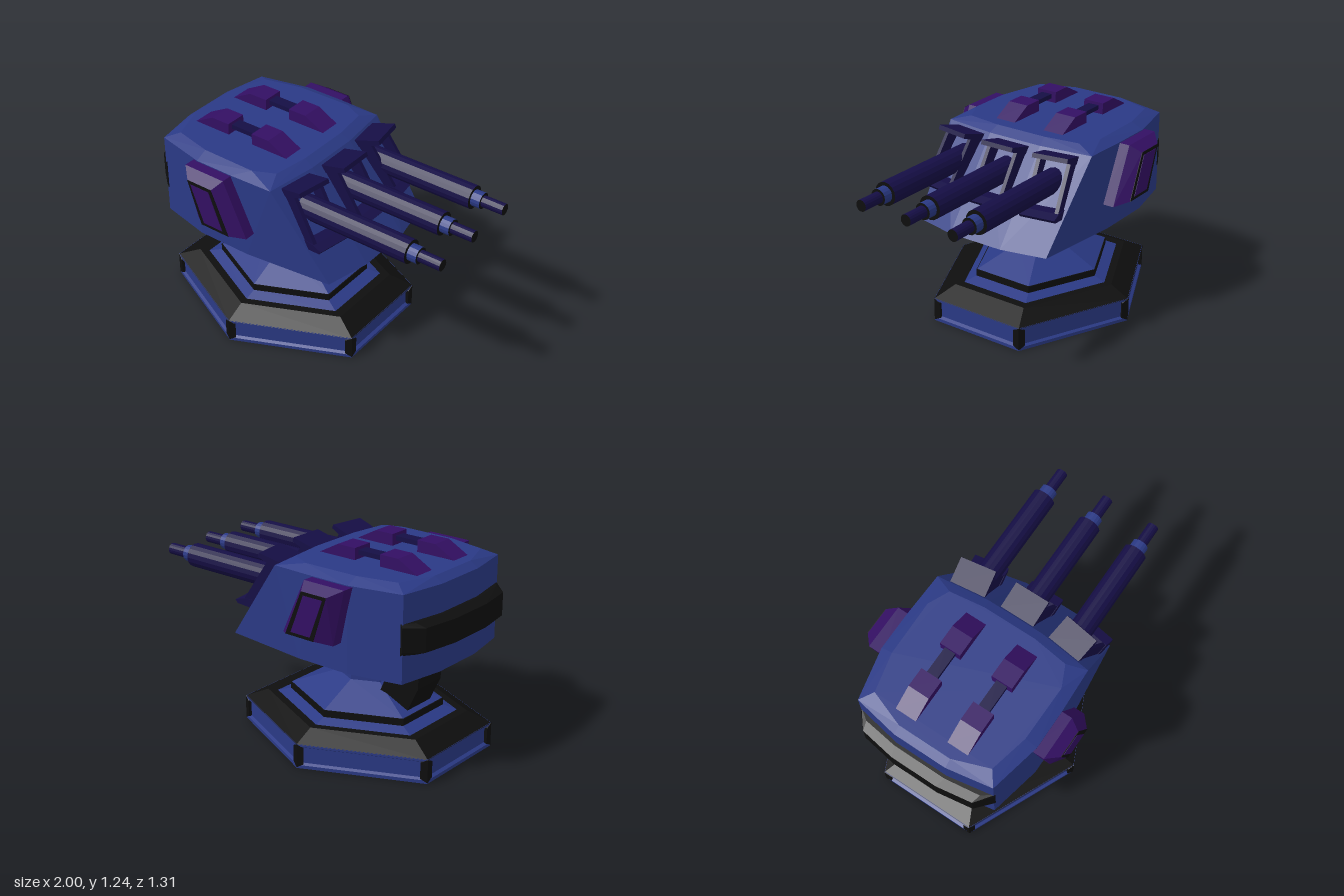
import * as THREE from 'three';
import { ConvexGeometry } from 'three/addons/geometries/ConvexGeometry.js';

const paint = (color) => new THREE.MeshStandardMaterial({ color, flatShading: true });
const blue = paint(0x2a3985), navy = paint(0x150e45), purple = paint(0x330f63), black = paint(0x0e0e0e);
const CX = -0.275;      // turret axis
const STRETCH = 1.256;  // hexagons are longer along x

function add(parent, name, geometry, material) {
  const mesh = new THREE.Mesh(geometry, material);
  mesh.name = name;
  parent.add(mesh);
  return mesh;
}

// Hexagonal solid of revolution, profile as [radius, y] from bottom to top
function hexLathe(parent, name, profile, material) {
  const geo = new THREE.LatheGeometry(profile.map(([r, y]) => new THREE.Vector2(r, y)), 6);
  geo.scale(STRETCH, 1, 1).translate(CX, 0, 0);
  return add(parent, name, geo, material);
}

// Side profile [x, y] extruded across z, centred on zc
function slab(parent, name, profile, width, zc, material) {
  const shape = new THREE.Shape(profile.map(([x, y]) => new THREE.Vector2(x, y)));
  const geo = new THREE.ExtrudeGeometry(shape, { depth: width, bevelEnabled: false });
  geo.translate(0, 0, zc - width / 2);
  return add(parent, name, geo, material);
}

const hull = (parent, name, points, material) =>
  add(parent, name, new ConvexGeometry(points), material);

// Plan outline [x, z] at height y, mirrored in z
const planRing = (outline, y) => outline.flatMap(([x, z]) =>
  [new THREE.Vector3(x, y, z), new THREE.Vector3(x, y, -z)]);

// Side outline [x, y] at depth z
const sideRing = (outline, z) => outline.map(([x, y]) => new THREE.Vector3(x, y, z));

function buildBase() {
  const g = new THREE.Group();
  g.name = 'base';
  hexLathe(g, 'basePlinth', [[0, 0], [0.63, 0], [0.63, 0.02], [0.612, 0.03], [0.612, 0.125],
    [0.63, 0.135], [0.63, 0.15], [0, 0.15]], blue);
  hexLathe(g, 'baseBevel', [[0.632, 0.148], [0.51, 0.21], [0.46, 0.21], [0.46, 0.15]], black);
  hexLathe(g, 'baseStep', [[0.47, 0.205], [0.385, 0.235]], blue);
  hexLathe(g, 'neckRing', [[0.39, 0.225], [0.39, 0.275], [0, 0.275]], black);
  hexLathe(g, 'neck', [[0.385, 0.276], [0.145, 0.39], [0.145, 0.56]], blue);

  // Chamfered guards on the six corners
  const corner = (i) => new THREE.Vector3(
    0.632 * Math.sin(i * Math.PI / 3) * STRETCH, 0, 0.632 * Math.cos(i * Math.PI / 3));
  for (let i = 0; i < 6; i++) {
    const v = corner(i), pts = [];
    const inner = v.clone().multiplyScalar(0.9);
    for (const y of [0.005, 0.149]) pts.push(v.clone().setY(y), inner.clone().setY(y));
    for (const j of [i - 1, i + 1]) {
      const p = v.clone().add(corner(j).sub(v).setLength(0.042));
      for (const y of [0.028, 0.127]) pts.push(p.clone().setY(y));
    }
    hull(g, 'cornerGuard', pts.map((p) => p.add(new THREE.Vector3(CX, 0, 0))), black);
  }

  // Collar under the turret and the rear support arm
  add(g, 'collar', new THREE.BoxGeometry(0.44, 0.08, 0.345).translate(-0.255, 0.585, 0), blue);
  slab(g, 'supportArm', [[-0.735, 0.63], [-0.735, 0.44], [-0.66, 0.28], [-0.45, 0.28],
    [-0.47, 0.37], [-0.54, 0.53], [-0.54, 0.63]], 0.22, 0, black);
  return g;
}

function buildBody() {
  const g = new THREE.Group();
  g.name = 'turretBody';
  hull(g, 'hull', [
    ...planRing([[-0.92, 0.17], [-0.87, 0.45], [-0.55, 0.52], [-0.2, 0.52], [0.35, 0.46], [0.41, 0.18]], 0.62),
    ...planRing([[-0.92, 0.17], [-0.87, 0.45], [-0.55, 0.52], [-0.3, 0.52], [-0.02, 0.51], [0.02, 0.18]], 1.13),
    ...planRing([[-0.87, 0.17], [-0.79, 0.39], [-0.55, 0.445], [-0.2, 0.45], [-0.07, 0.39], [-0.04, 0.17]], 1.165),
  ], blue);

  // Rear bumper
  const rearWide = [[-0.94, 0.17], [-0.91, 0.385], [-0.86, 0.455], [-0.8, 0.4]];
  const rearOut = [[-1, 0.15], [-0.965, 0.37], [-0.87, 0.455]];
  hull(g, 'rearBumper', [
    ...planRing(rearWide, 0.785), ...planRing(rearOut, 0.805),
    ...planRing(rearOut, 0.945), ...planRing(rearWide, 0.965),
  ], black);

  // Bevelled side pods with a framed inset
  const outer = [[-0.58, 1.125], [-0.3, 1.125], [-0.145, 0.79], [-0.505, 0.79]];
  const frame = [[-0.51, 1.085], [-0.335, 1.085], [-0.22, 0.815], [-0.42, 0.815]];
  const inset = [[-0.485, 1.065], [-0.352, 1.065], [-0.262, 0.835], [-0.398, 0.835]];
  for (const s of [1, -1]) {
    hull(g, 'sidePod', [...sideRing(outer, s * 0.49), ...sideRing(outer, s * 0.585),
      ...sideRing(frame, s * 0.65)], purple);
    hull(g, 'sidePodFrame', [...sideRing(frame, s * 0.64), ...sideRing(frame, s * 0.653)], black);
    hull(g, 'sidePodInset', [...sideRing(inset, s * 0.64), ...sideRing(inset, s * 0.656)], purple);
  }

  // Paired roof blocks joined by rods
  for (const z of [0.172, -0.172]) {
    for (const s of [1, -1]) {
      const block = [[0.34, 1.155], [0.34, 1.165], [0.21, 1.235], [0.088, 1.235], [0.088, 1.155]];
      slab(g, 'roofBlock', block.map(([x, y]) => [-0.462 + s * x, y]), 0.134, z, purple);
    }
    add(g, 'roofRod', new THREE.BoxGeometry(0.2, 0.028, 0.07).translate(-0.462, 1.203, z), navy);
  }
  return g;
}

function buildGun(side) {
  const g = new THREE.Group();
  g.name = 'gun';
  const z = side * 0.32;

  // Port frame: visor, lip and cheeks, turned to follow the curved front
  const port = new THREE.Group();
  port.name = 'gunPort';
  port.position.set(side ? -0.025 : 0, 0, z);
  port.rotation.y = -side * 0.16;
  slab(port, 'visor', [[0.0, 1.1], [0.03, 1.115], [0.19, 1.155], [0.2, 1.13], [0.05, 1.07]], 0.22, 0, navy);
  slab(port, 'lip', [[0.2, 0.86], [0.25, 0.81], [0.345, 0.825], [0.36, 0.845], [0.3, 0.862]], 0.22, 0, navy);
  for (const s of [1, -1]) {
    slab(port, 'cheek', [[0.0, 1.11], [0.13, 1.125], [0.31, 0.845], [0.23, 0.82]], 0.024, s * 0.094, navy);
  }
  g.add(port);

  // Stepped barrel along +x
  for (const [name, x0, x1, r, mat] of [
    ['barrel', 0.05, 0.8, 0.072, navy],
    ['barrelCollar', 0.79, 0.86, 0.05, blue],
    ['muzzle', 0.85, 1, 0.035, navy],
  ]) {
    const geo = new THREE.CylinderGeometry(r, r, x1 - x0, 16);
    geo.rotateZ(-Math.PI / 2).translate((x0 + x1) / 2, 0.975, z);
    add(g, name, geo, [mat, black, black]);
  }
  return g;
}

export function createModel() {
  const model = new THREE.Group();
  model.name = 'turret';
  model.add(buildBase(), buildBody());
  for (const side of [-1, 0, 1]) model.add(buildGun(side));
  return model;
}
